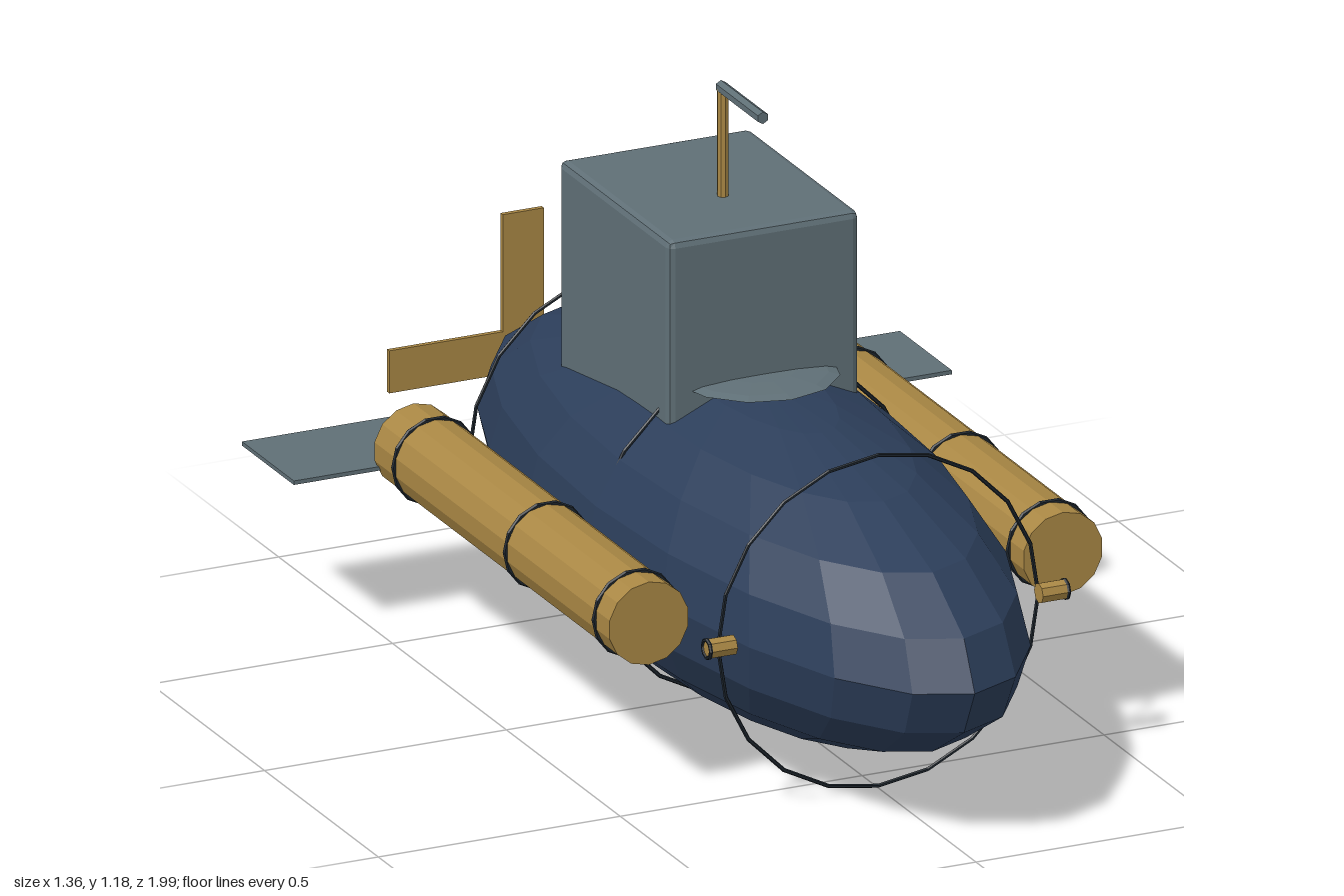
import * as THREE from 'three';
import { RoundedBoxGeometry } from 'three/addons/geometries/RoundedBoxGeometry.js';

const paint = (color) => new THREE.MeshStandardMaterial({ color, flatShading: true });

export function createModel() {
  const model = new THREE.Group();
  const navy = paint(0x2c3e5a);
  const grey = paint(0x5f6f76);
  const brass = paint(0xa98744);
  const black = paint(0x1c242c);
  const axisY = 0.335; // height of the hull's centre line

  function add(name, geometry, material, x, y, z) {
    const mesh = new THREE.Mesh(geometry, material);
    mesh.name = name;
    mesh.position.set(x, y, z);
    model.add(mesh);
    return mesh;
  }

  // Faceted ellipsoid hull
  const hull = new THREE.SphereGeometry(1, 20, 10).scale(0.345, 0.305, 0.97);
  add('hull', hull, navy, 0, axisY, 0.025);

  // Hoops around the hull
  for (const z of [0.57, 0.025, -0.525]) {
    add('hullHoop', new THREE.TorusGeometry(0.331, 0.004, 6, 20), black, 0, axisY, z);
  }

  // Conning tower with bevelled edges, sunk into the hull
  add('tower', new RoundedBoxGeometry(0.395, 0.5, 0.485, 1, 0.014), grey, 0, 0.7, -0.172);

  // Flat dome on the deck in front of the tower
  const dome = new THREE.SphereGeometry(0.16, 12, 6).scale(1, 0.07, 1);
  add('deckDome', dome, grey, 0, 0.645, 0.03);

  // Periscope
  add('periscopeTube', new THREE.CylinderGeometry(0.011, 0.011, 0.25, 8), brass, 0, 1.04, -0.112);
  const head = new THREE.CylinderGeometry(0.012, 0.012, 0.185, 6).rotateX(Math.PI / 2);
  add('periscopeHead', head, grey, 0, 1.166, -0.028);

  // Tanks, bands, studs and stern planes on both sides
  for (const side of [-1, 1]) {
    const tank = new THREE.CylinderGeometry(0.083, 0.083, 1.033, 14).rotateX(Math.PI / 2);
    add('sideTank', tank, brass, side * 0.428, 0.365, -0.044);
    for (const z of [0.41, 0.02, -0.47]) {
      add('tankBand', new THREE.TorusGeometry(0.084, 0.005, 6, 14), black, side * 0.428, 0.365, z);
    }
    for (const z of [0.605, -0.37]) {
      const stud = new THREE.CylinderGeometry(0.02, 0.02, 0.055, 8).rotateZ(Math.PI / 2);
      add('stud', stud, brass, side * 0.343, 0.35, z);
      const ring = new THREE.TorusGeometry(0.018, 0.004, 6, 8).rotateY(Math.PI / 2);
      add('studRing', ring, black, side * 0.37, 0.35, z);
    }
    add('sternPlane', new THREE.BoxGeometry(0.39, 0.008, 0.228), grey, side * 0.485, 0.333, -0.665);
  }

  // Crossed propeller blades
  for (const turn of [0, Math.PI / 2]) {
    const blade = add('propellerBlade', new THREE.BoxGeometry(0.554, 0.085, 0.01), brass, 0, 0.338, -0.993);
    blade.rotation.z = turn;
  }

  return model;
}
